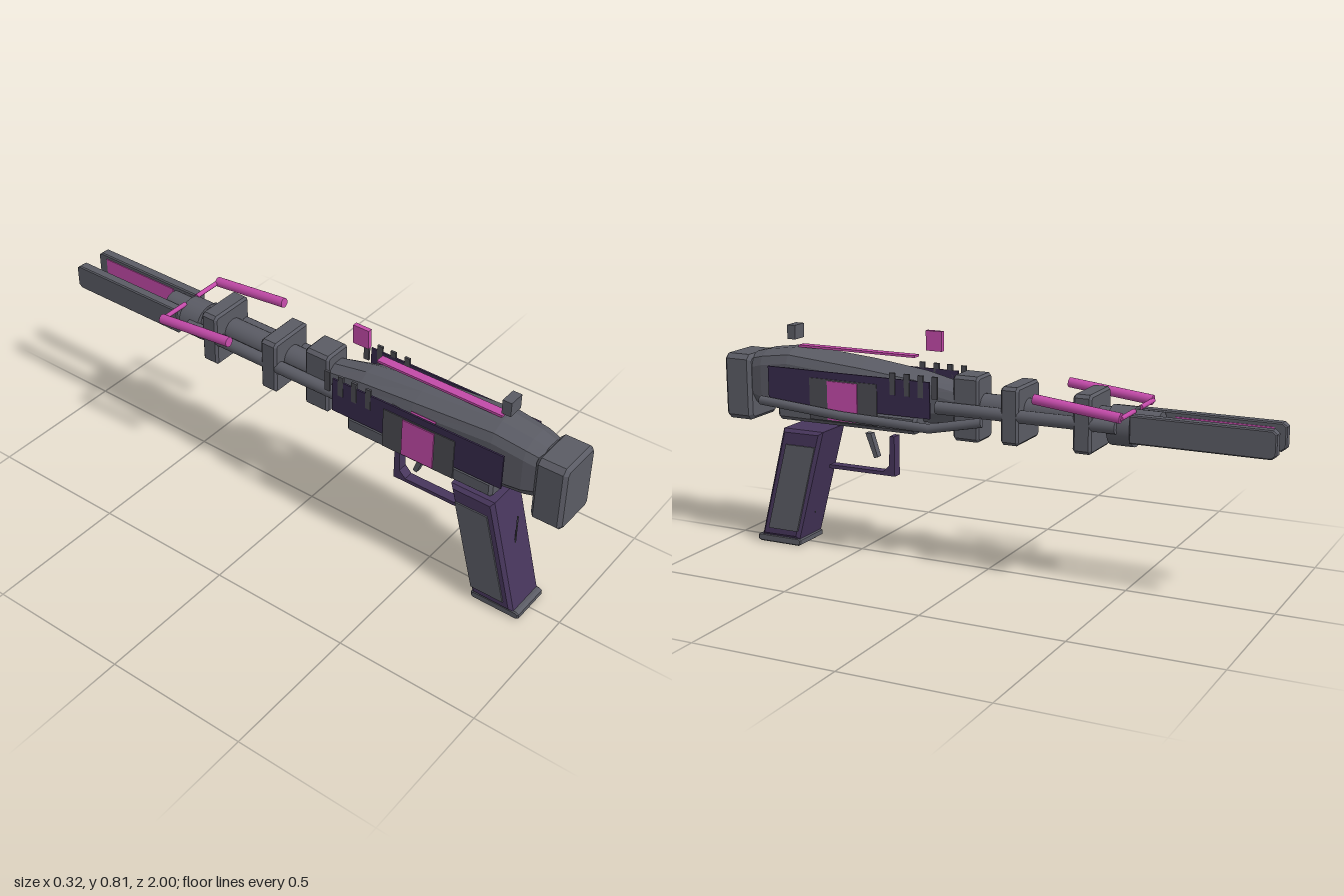
import * as THREE from 'three';

const mat = (name, color, side = THREE.FrontSide) => {
  const m = new THREE.MeshStandardMaterial({ color, side });
  m.name = name;
  return m;
};

export function createModel() {
  const grey = mat('gunmetal', 0x5a5b64);
  const darkGrey = mat('darkMetal', 0x4b4b52);
  const purple = mat('purple', 0x47365c);
  const darkPurple = mat('darkPurple', 0x372a4c);
  const pink = mat('pink', 0xc24aa8);
  const model = new THREE.Group();
  model.name = 'energyRifle';

  const add = (name, geo, material, x = 0, y = 0, z = 0) => {
    const m = new THREE.Mesh(geo, material);
    m.name = name;
    m.position.set(x, y, z);
    model.add(m);
    return m;
  };
  // Box given by its limits
  const box = (name, material, x0, x1, y0, y1, z0, z1) =>
    add(name, new THREE.BoxGeometry(x1 - x0, y1 - y0, z1 - z0), material,
      (x0 + x1) / 2, (y0 + y1) / 2, (z0 + z1) / 2);
  // Box with chamfered edges, centred on x
  const chamferBox = (name, material, hw, y0, y1, z0, z1, c) => {
    const w = hw - c, h = (y1 - y0) / 2 - c, k = c * 0.8;
    const s = new THREE.Shape([[-w + k, -h], [w - k, -h], [w, -h + k], [w, h - k],
      [w - k, h], [-w + k, h], [-w, h - k], [-w, -h + k]].map(p => new THREE.Vector2(...p)));
    const d = z1 - z0 - 2 * c;
    const g = new THREE.ExtrudeGeometry(s, { depth: d, bevelSize: c, bevelThickness: c, bevelSegments: 1 });
    return add(name, g.translate(0, 0, -d / 2), material, 0, (y0 + y1) / 2, (z0 + z1) / 2);
  };
  // Side profile of [z, y] points extruded across x
  const profile = (name, material, pts, hw, x = 0, bevel = 0) => {
    const s = new THREE.Shape(pts.map(p => new THREE.Vector2(...p)));
    const depth = 2 * (hw - bevel);
    const g = new THREE.ExtrudeGeometry(s, { depth, bevelEnabled: bevel > 0, bevelSize: bevel,
      bevelOffset: -bevel, bevelThickness: bevel, bevelSegments: 1 });
    return add(name, g.translate(0, 0, -depth / 2).rotateY(-Math.PI / 2), material, x);
  };
  // Cylinder between two points
  const rod = (name, material, a, b, r, sides = 16) => {
    const p = new THREE.Vector3(...a), q = new THREE.Vector3(...b);
    const m = add(name, new THREE.CylinderGeometry(r, r, p.distanceTo(q), sides), material);
    m.position.copy(p).add(q).multiplyScalar(0.5);
    m.quaternion.setFromUnitVectors(new THREE.Vector3(0, 1, 0), q.sub(p).normalize());
    return m;
  };

  // Receiver: lofted rings [z, half width, top height, bottom height]
  const rings = [[0.1, 0.055, 0.635, 0.51], [0.24, 0.07, 0.665, 0.5], [0.45, 0.083, 0.69, 0.49],
    [0.74, 0.085, 0.713, 0.49], [0.85, 0.08, 0.698, 0.5], [0.9, 0.07, 0.685, 0.51]].map(([z, w, t, b]) => {
    const half = [[0.35, t], [0.85, t - 0.02], [1, t - 0.05], [1, b + 0.035], [0.65, b]];
    return [...half.map(([f, y]) => [f * w, y, z]),
      ...half.slice().reverse().map(([f, y]) => [-f * w, y, z])];
  });
  const verts = [], n = rings[0].length;
  const tri = (...ps) => ps.forEach(p => verts.push(...p));
  for (let i = 0; i < rings.length - 1; i++) {
    for (let j = 0; j < n; j++) {
      const k = (j + 1) % n, a = rings[i], b = rings[i + 1];
      tri(a[j], b[j], b[k]);
      tri(a[j], b[k], a[k]);
    }
  }
  const first = rings[0], last = rings[rings.length - 1];
  for (let j = 1; j < n - 1; j++) {
    tri(first[0], first[j], first[j + 1]);
    tri(last[0], last[j + 1], last[j]);
  }
  const hull = new THREE.BufferGeometry();
  hull.setAttribute('position', new THREE.Float32BufferAttribute(verts, 3));
  hull.computeVertexNormals();
  add('receiver', hull, grey);

  chamferBox('buttBlock', grey, 0.086, 0.445, 0.68, 0.892, 1, 0.012);
  chamferBox('lowerReceiver', grey, 0.106, 0.468, 0.535, 0.22, 0.768, 0.01);
  chamferBox('sideFrame', darkGrey, 0.107, 0.475, 0.635, 0.365, 0.63, 0.012);

  // Side panels, energy cells and cooling fins
  for (const s of [-1, 1]) {
    const span = (a, b) => s > 0 ? [a, b] : [-b, -a];
    box('sidePanel', darkPurple, ...span(0.102, 0.108), 0.53, 0.655, 0.165, 0.8);
    box('framePlate', darkGrey, ...span(0.105, 0.111), 0.485, 0.63, 0.365, 0.63);
    box('energyCell', pink, ...span(0.085, 0.115), 0.49, 0.625, 0.44, 0.557);
    const cap = box('energyCellTop', pink, ...span(0.095, 0.101), 0.615, 0.653, 0.455, 0.545);
    cap.rotation.z = s * 0.6;
    for (const z of [0.305, 0.25, 0.198, 0.145])
      box('coolingFin', darkGrey, ...span(0.102, 0.11), 0.6, 0.675, z - 0.01, z + 0.01);
  }

  // Barrel assembly
  rod('barrel', grey, [0, 0.57, 0.15], [0, 0.57, -0.46], 0.042, 24);
  for (const s of [-1, 1]) rod('sideTube', grey, [s * 0.065, 0.562, 0.16], [s * 0.065, 0.562, -0.48], 0.022);
  chamferBox('rearClamp', grey, 0.055, 0.452, 0.675, 0.012, 0.107, 0.008);
  for (const z of [-0.115, -0.37])
    chamferBox('barrelClamp', grey, 0.087, 0.465, 0.66, z - 0.032, z + 0.032, 0.008);
  rod('muzzleCollar', grey, [0, 0.555, -0.445], [0, 0.555, -0.525], 0.066, 20);
  rod('muzzleCore', grey, [0, 0.57, -0.52], [0, 0.57, -0.61], 0.042, 20);

  // Muzzle prongs with glowing inner faces, and outrigger bars
  for (const s of [-1, 1]) {
    profile('muzzleProng', grey, [[-0.525, 0.515], [-0.525, 0.607], [-0.985, 0.607], [-1, 0.595],
      [-1, 0.527], [-0.985, 0.515]], 0.018, s * 0.056, 0.004);
    box('prongInlay', pink, s * 0.037 - 0.002, s * 0.037 + 0.002, 0.53, 0.592, -0.96, -0.64);
    rod('outriggerBar', pink, [s * 0.145, 0.645, -0.23], [s * 0.145, 0.613, -0.525], 0.017);
    rod('outriggerArm', pink, [s * 0.03, 0.612, -0.525], [s * 0.145, 0.612, -0.525], 0.008);
  }

  // Feed pipe along the left side
  const pipe = [[0.112, 0.532, 0.83], [0.127, 0.512, 0.5], [0.127, 0.503, 0.16], [0.095, 0.535, -0.02]];
  for (let i = 0; i < 3; i++) rod('feedPipe', grey, pipe[i], pipe[i + 1], 0.016, 12);
  for (const p of pipe.slice(1, 3)) add('pipeJoint', new THREE.SphereGeometry(0.016, 12, 8), grey, ...p);

  // Sights and top rail
  box('topStrip', pink, -0.016, 0.016, 0.712, 0.72, 0.27, 0.73);
  box('rearSight', grey, -0.029, 0.029, 0.74, 0.79, 0.735, 0.767);
  box('frontSight', pink, -0.008, 0.008, 0.74, 0.808, 0.17, 0.23);

  // Grip
  profile('grip', purple, [[0.765, 0.43], [0.605, 0.43], [0.715, 0.026], [0.87, 0.026]], 0.083, 0, 0.012);
  for (const s of [-1, 1])
    profile('gripPanel', grey, [[0.75, 0.375], [0.632, 0.375], [0.715, 0.058], [0.835, 0.058]], 0.004, s * 0.084);
  profile('gripBase', grey, [[0.89, 0.006], [0.89, 0.022], [0.88, 0.028], [0.72, 0.028], [0.71, 0.022],
    [0.71, 0.006], [0.72, 0], [0.88, 0]], 0.075, 0, 0.004);
  rod('gripRearWire', darkGrey, [0, 0.2, 0.812], [0, 0.35, 0.812], 0.003, 6);
  rod('gripFrontWire', darkGrey, [0, 0.11, 0.692], [0, 0.3, 0.692], 0.003, 6);

  // Trigger and guard
  profile('triggerGuard', purple, [[0.615, 0.288], [0.352, 0.288], [0.352, 0.43], [0.37, 0.43],
    [0.374, 0.325], [0.398, 0.301], [0.615, 0.301]], 0.018);
  profile('trigger', grey, [[0.47, 0.43], [0.448, 0.43], [0.422, 0.348], [0.436, 0.343]], 0.012);

  return model;
}
